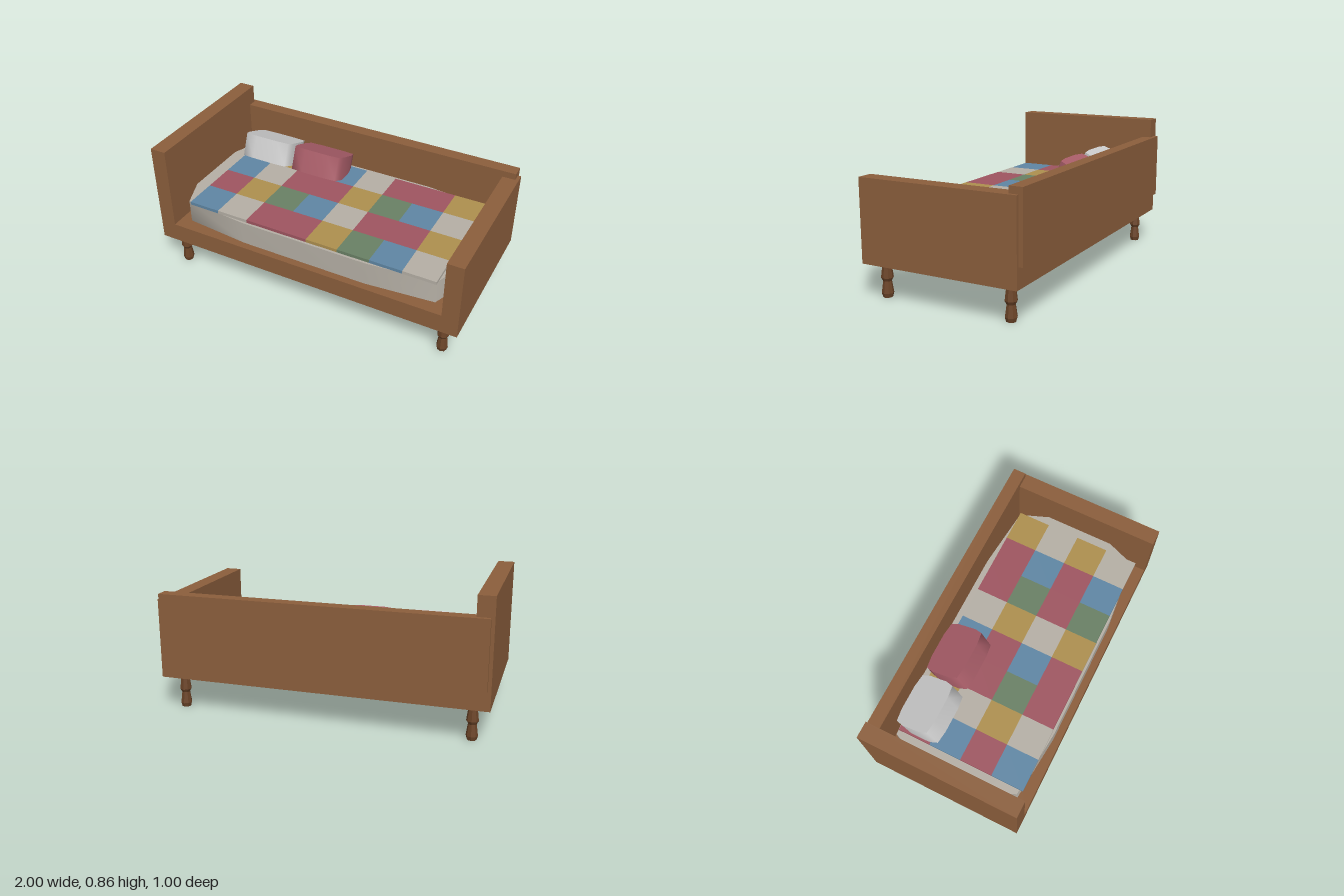
import * as THREE from 'three';
import { toCreasedNormals } from 'three/addons/utils/BufferGeometryUtils.js';

const mat = (color, extra = {}) => new THREE.MeshStandardMaterial({ color, ...extra });
const WOOD = mat(0x8b5e3c);
const LEG = mat(0x6b4428, { flatShading: true });
const LINEN = mat(0xb5afa5);
const COLORS = {
  red: mat(0x9e5560), gold: mat(0xad8f4e), green: mat(0x698065),
  blue: mat(0x5f86a4), cream: LINEN,
};

export function createModel() {
  const model = new THREE.Group();

  const add = (name, geometry, material, parent = model) => {
    const mesh = new THREE.Mesh(geometry, material);
    mesh.name = name;
    parent.add(mesh);
    return mesh;
  };

  // box given by its limits on each axis
  const box = (name, [x0, x1], [y0, y1], [z0, z1], material, parent) => {
    const mesh = add(name, new THREE.BoxGeometry(x1 - x0, y1 - y0, z1 - z0), material, parent);
    mesh.position.set((x0 + x1) / 2, (y0 + y1) / 2, (z0 + z1) / 2);
    return mesh;
  };

  // slab with softly bulging sides, centred on its origin
  const cushion = (halfX, height, halfZ) => {
    const quarter = [[1, 0.5], [0.922, 0.91], [0.455, 1]];
    const back = [...quarter].reverse();
    const outline = [
      ...quarter,
      ...back.map(([x, z]) => [-x, z]),
      ...quarter.map(([x, z]) => [-x, -z]),
      ...back.map(([x, z]) => [x, -z]),
    ].map(([x, z]) => new THREE.Vector2(x * halfX, z * halfZ));
    const g = new THREE.ExtrudeGeometry(new THREE.Shape(outline), { depth: height, bevelEnabled: false });
    g.translate(0, 0, -height / 2).rotateX(-Math.PI / 2);
    return toCreasedNormals(g, 1.2);
  };

  // wooden frame
  box('base', [-0.9, 0.9], [0.21, 0.33], [-0.48, 0.5], WOOD);
  box('headboard', [-1, -0.9], [0.21, 0.86], [-0.48, 0.5], WOOD);
  box('footboard', [0.9, 1], [0.21, 0.7], [-0.48, 0.5], WOOD);
  box('backPanel', [-0.98, 0.98], [0.33, 0.74], [-0.505, -0.425], WOOD);

  // turned legs
  const legProfile = [
    [0, 0], [0.028, 0], [0.035, 0.025], [0.025, 0.095],
    [0.036, 0.115], [0.027, 0.185], [0.032, 0.21], [0, 0.21],
  ].map(([r, y]) => new THREE.Vector2(r, y));
  const legGeometry = new THREE.LatheGeometry(legProfile, 8);
  for (const x of [-0.895, 0.895]) {
    for (const z of [-0.388, 0.413]) {
      add('leg', legGeometry, LEG).position.set(x, 0, z);
    }
  }

  // mattress
  add('mattress', cushion(0.9, 0.15, 0.441), LINEN).position.set(0, 0.405, 0.014);

  // patchwork quilt, two alternating rows of coloured squares
  const quilt = new THREE.Group();
  quilt.name = 'quilt';
  model.add(quilt);
  const rows = [
    ['red', 'gold', 'green', 'blue', 'cream', 'red', 'red', 'gold'],
    ['blue', 'cream', 'red', 'red', 'gold', 'green', 'blue', 'cream'],
  ];
  const w = 0.2044, d = 0.2063;
  for (let r = 0; r < 4; r++) {
    rows[r % 2].forEach((color, c) => {
      const x = -0.8 + c * w, z = -0.385 + r * d;
      box('quiltPatch', [x, x + w], [0.48, 0.5], [z, z + d], COLORS[color], quilt);
    });
  }

  // pillows, tilted with the front edge raised
  const pillowGeometry = cushion(0.17, 0.152, 0.125);
  for (const [name, x, color] of [['whitePillow', -0.618, 0xcccccc], ['redPillow', -0.249, 0xa85d68]]) {
    const pillow = add(name, pillowGeometry, mat(color));
    pillow.position.set(x, 0.562, -0.265);
    pillow.rotation.x = -0.39;
  }

  return model;
}
